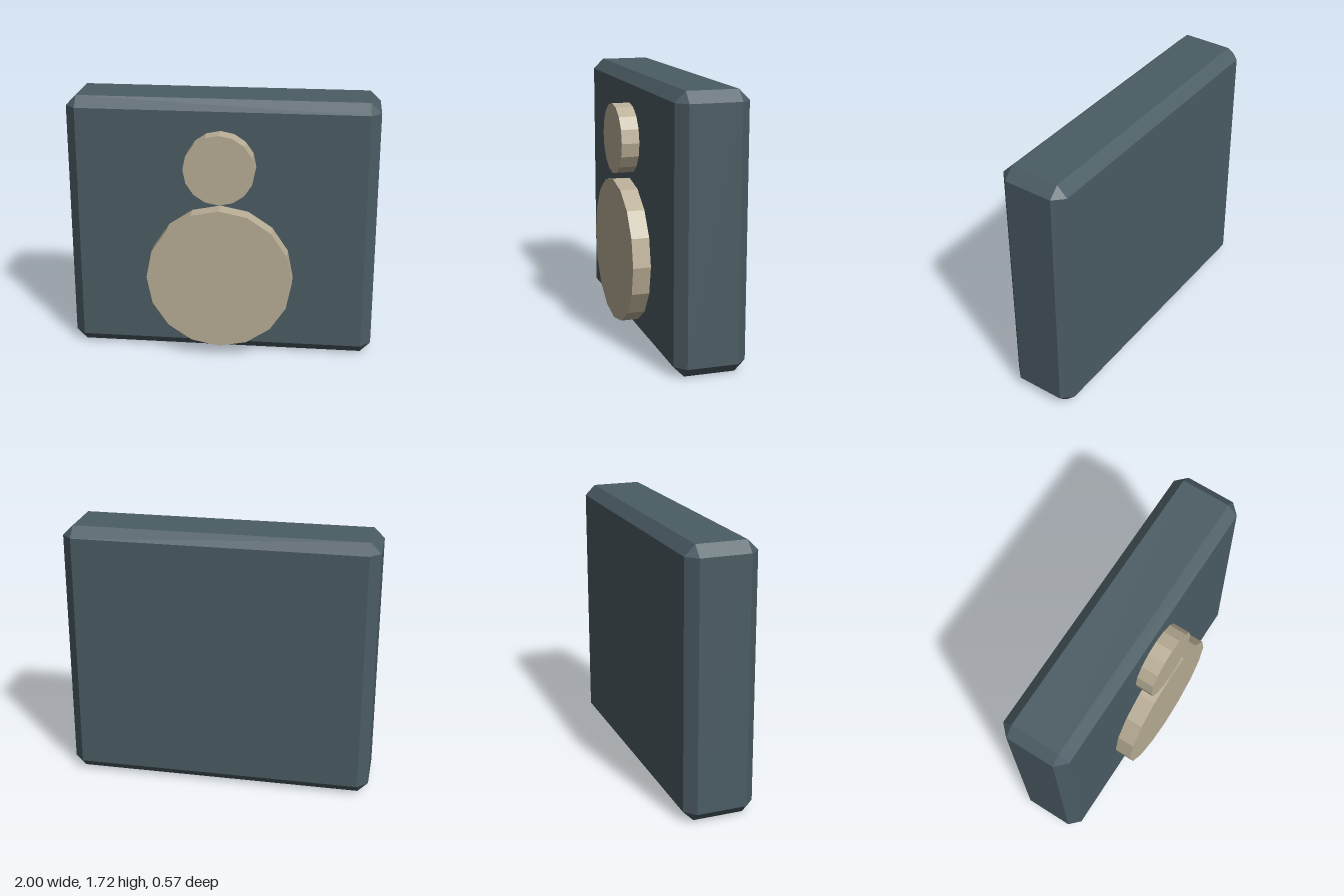
import * as THREE from 'three';
import { ConvexGeometry } from 'three/addons/geometries/ConvexGeometry.js';

// Box with every edge cut at 45 degrees and small triangular corners
function chamferedBox(w, h, d, c) {
  const points = [];
  for (const sx of [-1, 1]) for (const sy of [-1, 1]) for (const sz of [-1, 1]) {
    const x = w / 2, y = h / 2, z = d / 2;
    points.push(
      new THREE.Vector3(sx * x, sy * (y - c), sz * (z - c)),
      new THREE.Vector3(sx * (x - c), sy * y, sz * (z - c)),
      new THREE.Vector3(sx * (x - c), sy * (y - c), sz * z)
    );
  }
  return new ConvexGeometry(points);
}

export function createModel() {
  const model = new THREE.Group();
  model.name = 'wallPanel';

  const slate = new THREE.MeshStandardMaterial({ name: 'slate', color: 0x4b5c64, flatShading: true });
  const sand = new THREE.MeshStandardMaterial({ name: 'sand', color: 0xb9ae96, flatShading: true });

  // Backing block
  const back = -0.285, front = 0.17, height = 1.715;
  const block = new THREE.Mesh(chamferedBox(2, height, front - back, 0.067), slate);
  block.name = 'block';
  block.position.set(0, height / 2, (front + back) / 2);
  model.add(block);

  // Raised sixteen-sided discs on the front
  const depth = 0.285 - front;
  for (const [name, radius, y] of [['upperDisc', 0.228, 1.298], ['lowerDisc', 0.474, 0.555]]) {
    const disc = new THREE.Mesh(new THREE.CylinderGeometry(radius, radius, depth, 16), sand);
    disc.name = name;
    disc.rotation.x = Math.PI / 2;
    disc.position.set(0, y, front + depth / 2);
    model.add(disc);
  }
  return model;
}
